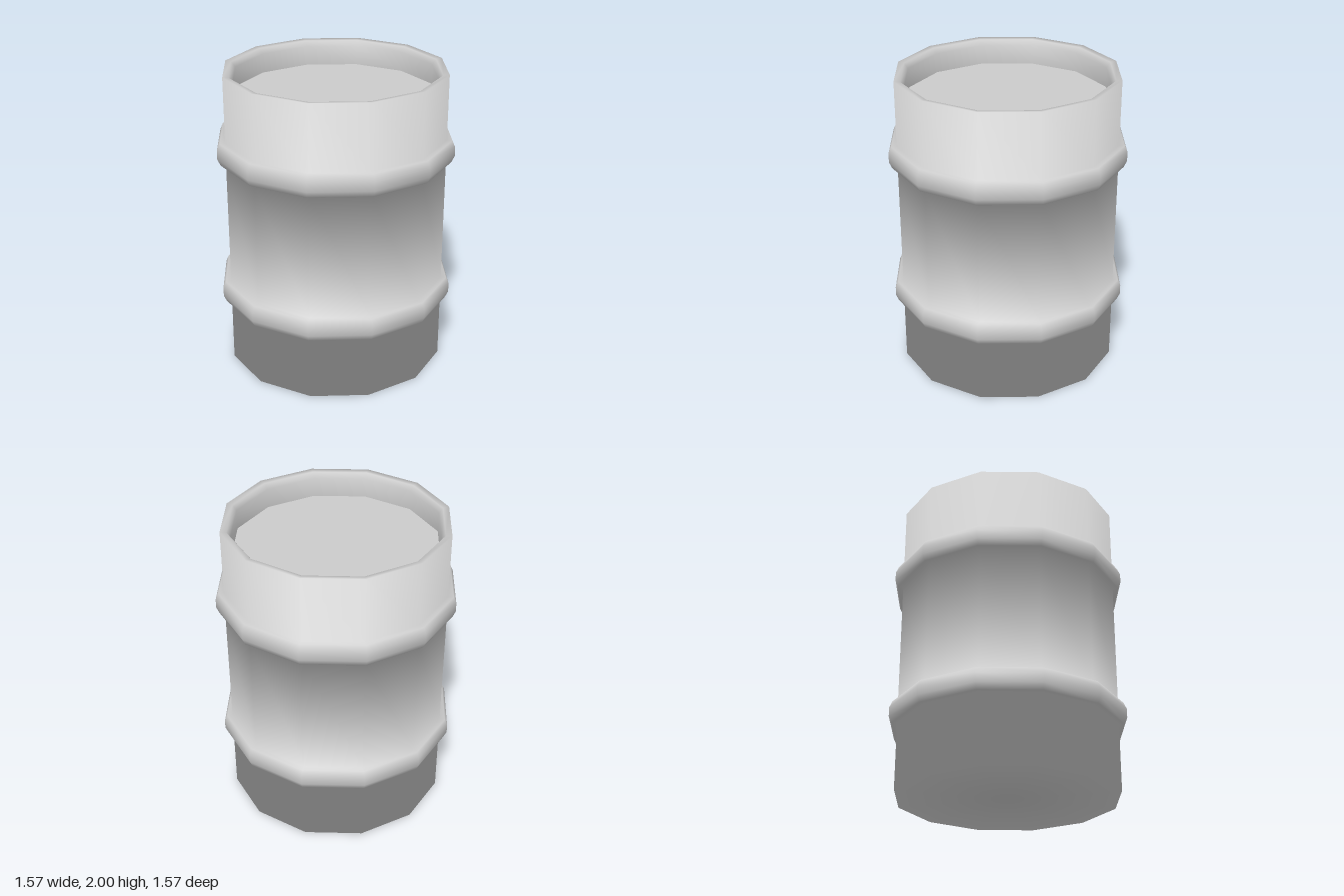
import * as THREE from 'three';

const SIDES = 12;
const material = new THREE.MeshStandardMaterial({ color: 0xcccccc });

// Revolve a profile; each profile corner gets the even average of its neighbouring slopes
function revolve(name, profile) {
  const points = profile.map(([r, y]) => new THREE.Vector2(r, y));
  const geometry = new THREE.LatheGeometry(points, SIDES);
  const slopes = points.slice(1).map((p, i) => {
    const d = p.clone().sub(points[i]).normalize();
    return new THREE.Vector2(d.y, -d.x);
  });
  const normals = points.map((p, i) => {
    const before = slopes[Math.max(i - 1, 0)];
    const after = slopes[Math.min(i, slopes.length - 1)];
    return before.clone().add(after).normalize();
  });
  const attribute = geometry.attributes.normal;
  for (let s = 0; s <= SIDES; s++) {
    const a = (s / SIDES) * Math.PI * 2;
    normals.forEach((n, i) =>
      attribute.setXYZ(s * points.length + i, n.x * Math.sin(a), n.y, n.x * Math.cos(a)));
  }
  const mesh = new THREE.Mesh(geometry, material);
  mesh.name = name;
  return mesh;
}

// Raised hoop rolled into the wall, centred at height y
const hoop = (y) => [
  [0.73, y - 0.073], [0.766, y - 0.073], [0.785, y - 0.03],
  [0.785, y + 0.03], [0.766, y + 0.073], [0.73, y + 0.073],
];

export function createModel() {
  const barrel = new THREE.Group();
  barrel.name = 'barrel';

  // Closed base, wall with two hoops, and the rounded rim turning inward
  barrel.add(revolve('barrelShell', [
    [0, 0], [0.73, 0],
    ...hoop(0.512),
    ...hoop(1.495),
    [0.73, 2], [0.69, 1.995], [0.665, 1.96], [0.665, 1.83],
  ]));

  // Sunken flat lid
  barrel.add(revolve('lid', [[0.665, 1.83], [0, 1.83]]));

  return barrel;
}
